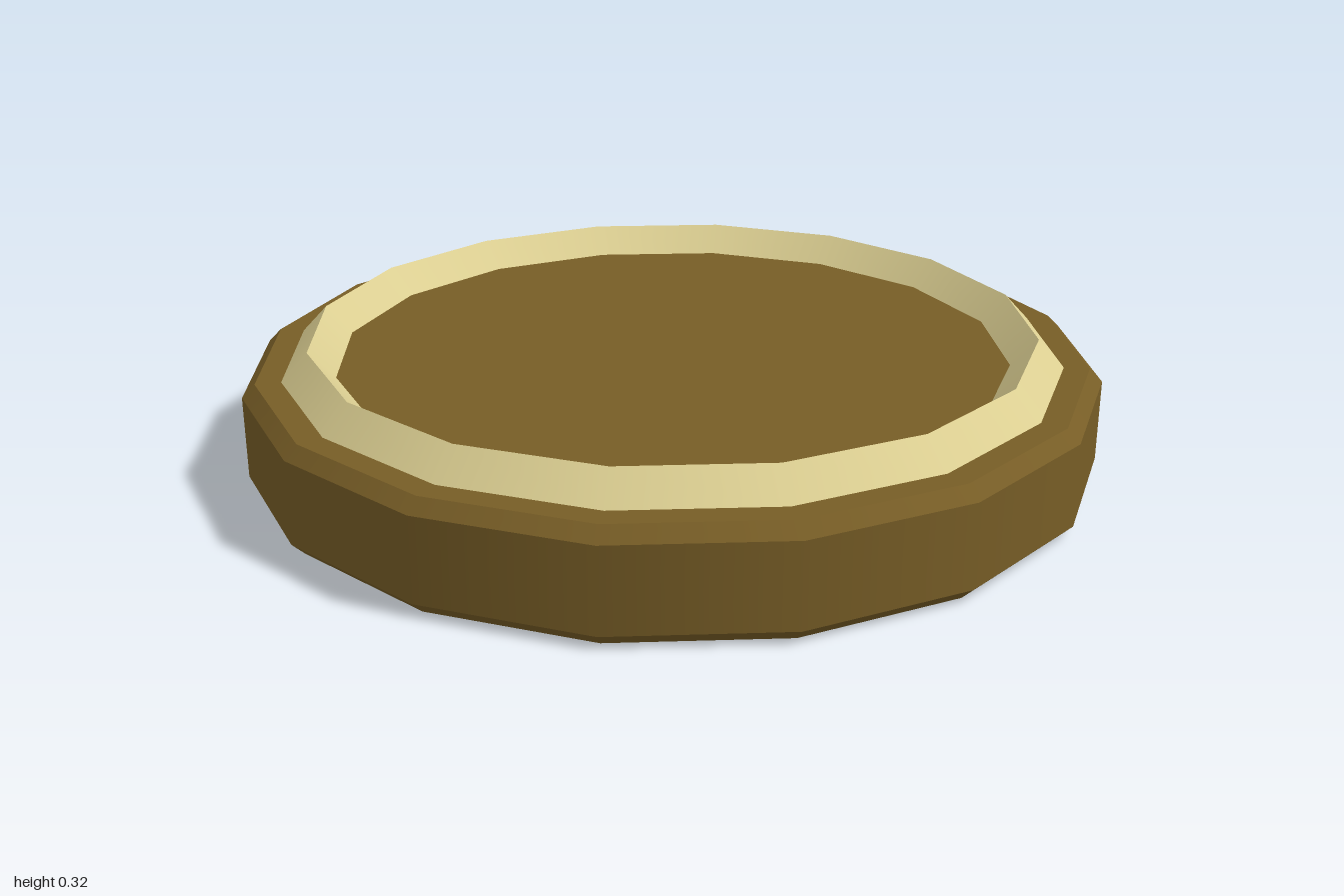
import * as THREE from 'three';
import { mergeGeometries } from 'three/addons/utils/BufferGeometryUtils.js';

const SIDES = 16;

// Revolve each profile segment separately: smooth around, sharp between bands
function bandedLathe(profile) {
  const points = profile.map(([r, y]) => new THREE.Vector2(r, y));
  const bands = [];
  for (let i = 0; i < points.length - 1; i++) {
    bands.push(new THREE.LatheGeometry([points[i], points[i + 1]], SIDES));
  }
  return mergeGeometries(bands);
}

export function createModel() {
  const group = new THREE.Group();
  group.name = 'disc';

  const bronze = new THREE.MeshStandardMaterial({ color: 0x775d26 });
  bronze.name = 'bronze';
  const paleGold = new THREE.MeshStandardMaterial({ color: 0xdccf92 });
  paleGold.name = 'pale gold';

  // Thick disc with chamfered rims
  const base = new THREE.Mesh(
    bandedLathe([[0, 0], [0.97, 0], [1, 0.03], [1, 0.222], [0.97, 0.252], [0, 0.252]]),
    bronze
  );
  base.name = 'base';
  group.add(base);

  // Ridged ring, lower half sunk into the disc
  const ring = new THREE.Mesh(
    bandedLathe([[0.85, 0.19], [0.913, 0.25], [0.85, 0.317], [0.787, 0.25], [0.85, 0.19]]),
    paleGold
  );
  ring.name = 'ring';
  group.add(ring);

  return group;
}
